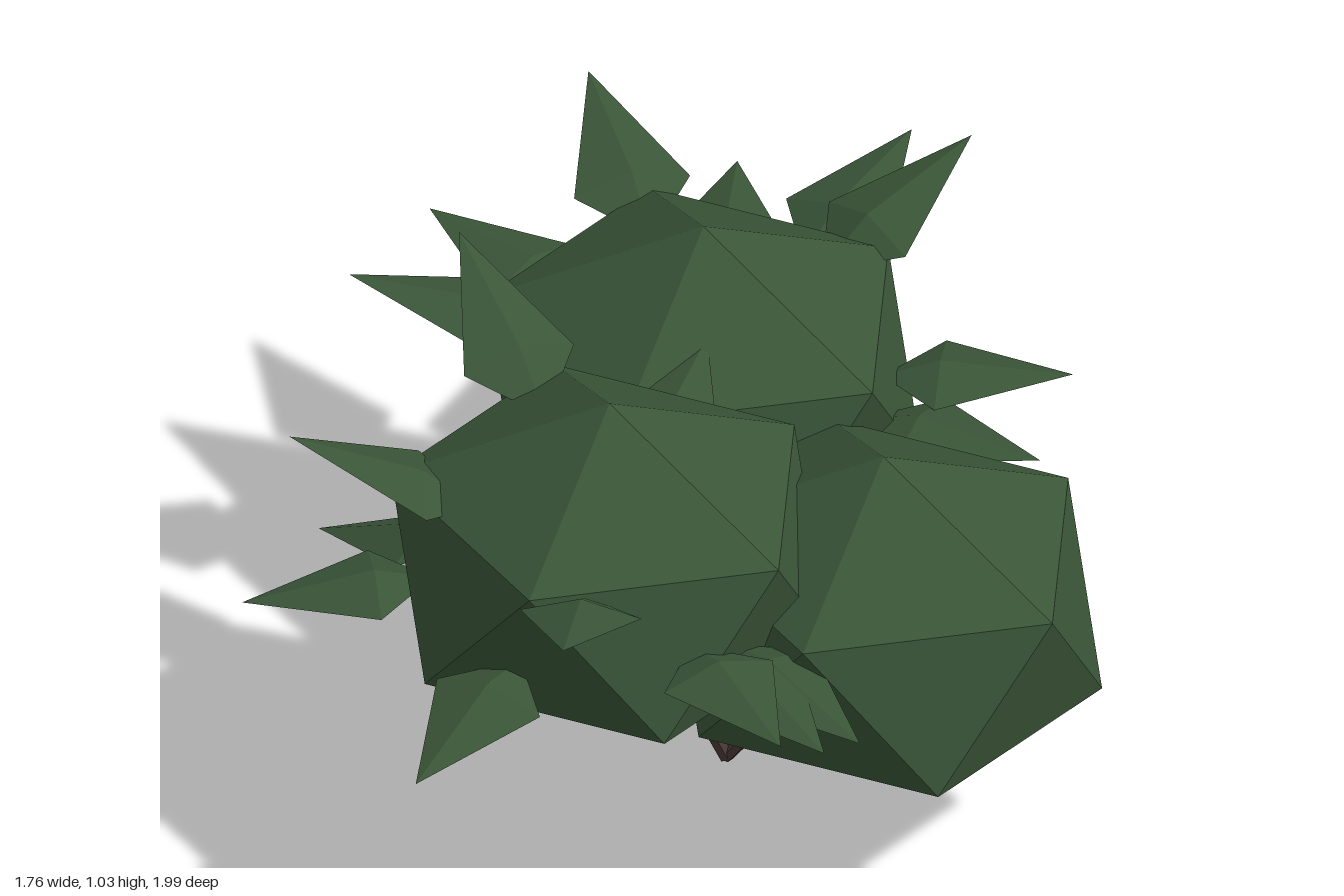
import * as THREE from 'three';
import { ConvexGeometry } from 'three/addons/geometries/ConvexGeometry.js';

const V = (x, y, z) => new THREE.Vector3(x, y, z);
const UP = V(0, 1, 0);

// Twenty-sided crown with a corner at each pole
function crownGeometry() {
  const h = 1 / Math.sqrt(5), r = 2 * h;
  const pts = [V(0, 1, 0), V(0, -1, 0)];
  for (let i = 0; i < 5; i++) {
    const a = (i * 2 * Math.PI) / 5;
    pts.push(V(r * Math.cos(a), h, r * Math.sin(a)));
    pts.push(V(-r * Math.cos(a), -h, -r * Math.sin(a)));
  }
  return new ConvexGeometry(pts).scale(0.468, 0.345, 0.447);
}

// Flattened spike pointing out of the crown: tip, two shoulders, ridges and tail
function leafGeometry(tip, centre) {
  const reach = Math.hypot(tip.x - centre.x, tip.z - centre.z);
  const mid = tip.clone().lerp(centre, 0.25 / reach);
  const tail = tip.clone().lerp(centre, 0.36 / reach);
  const side = tip.clone().sub(centre).cross(UP).setLength(0.115);
  const ridge = V(0, 0.035, 0);
  const around = [side, ridge].flatMap((d) => [mid.clone().add(d), mid.clone().sub(d)]);
  return new ConvexGeometry([tip, tail, ...around]);
}

export function createModel() {
  const model = new THREE.Group();
  const green = new THREE.MeshStandardMaterial({ color: 0x3a5538 });
  green.name = 'leaf green';
  const brown = new THREE.MeshStandardMaterial({ color: 0x4f403c });
  brown.name = 'bark brown';

  const root = V(0.07, 0, -0.05);
  const crown = crownGeometry();

  function addBranch(name, centre, tips) {
    // Foliage crown
    const ball = new THREE.Mesh(crown, green);
    ball.name = name + 'Crown';
    ball.position.copy(centre);
    model.add(ball);

    // Stem from the shared root to the middle of the crown
    const dir = centre.clone().sub(root);
    const stemGeo = new THREE.CylinderGeometry(0.015, 0.015, dir.length(), 6).toNonIndexed();
    stemGeo.computeVertexNormals();
    const stem = new THREE.Mesh(stemGeo, brown);
    stem.name = name + 'Stem';
    stem.position.copy(root).lerp(centre, 0.5);
    stem.position.y += 0.006;
    stem.quaternion.setFromUnitVectors(UP, dir.normalize());
    model.add(stem);

    // Spiky leaves round the crown
    for (const tip of tips) {
      const leaf = new THREE.Mesh(leafGeometry(tip, centre), green);
      leaf.name = name + 'Leaf';
      model.add(leaf);
    }
  }

  addBranch('left', V(0.46, 0.522, -0.05), []);
  addBranch('front', V(0.11, 0.685, 0.33), [
    V(-0.47, 1.03, 0.09), V(-0.55, 0.48, 0.4), V(-0.36, 0.63, 0.84),
    V(-0.32, 0.98, 0.75), V(0.2, 0.55, 0.99), V(0.47, 0.92, 0.88),
    V(0.75, 0.67, 0.58), V(0.78, 0.62, 0.49), V(0.79, 0.6, 0.4),
    V(-0.08, 0.83, -0.17),
  ]);
  addBranch('back', V(-0.21, 0.605, -0.31), [
    V(-0.88, 0.69, -0.3), V(-0.78, 0.87, -0.64), V(-0.61, 0.62, -0.87),
    V(-0.29, 0.77, -1), V(-0.09, 0.88, -0.94), V(0.36, 0.66, -0.71),
    V(0.46, 0.62, -0.5), V(-0.76, 0.79, 0.07),
  ]);
  return model;
}
